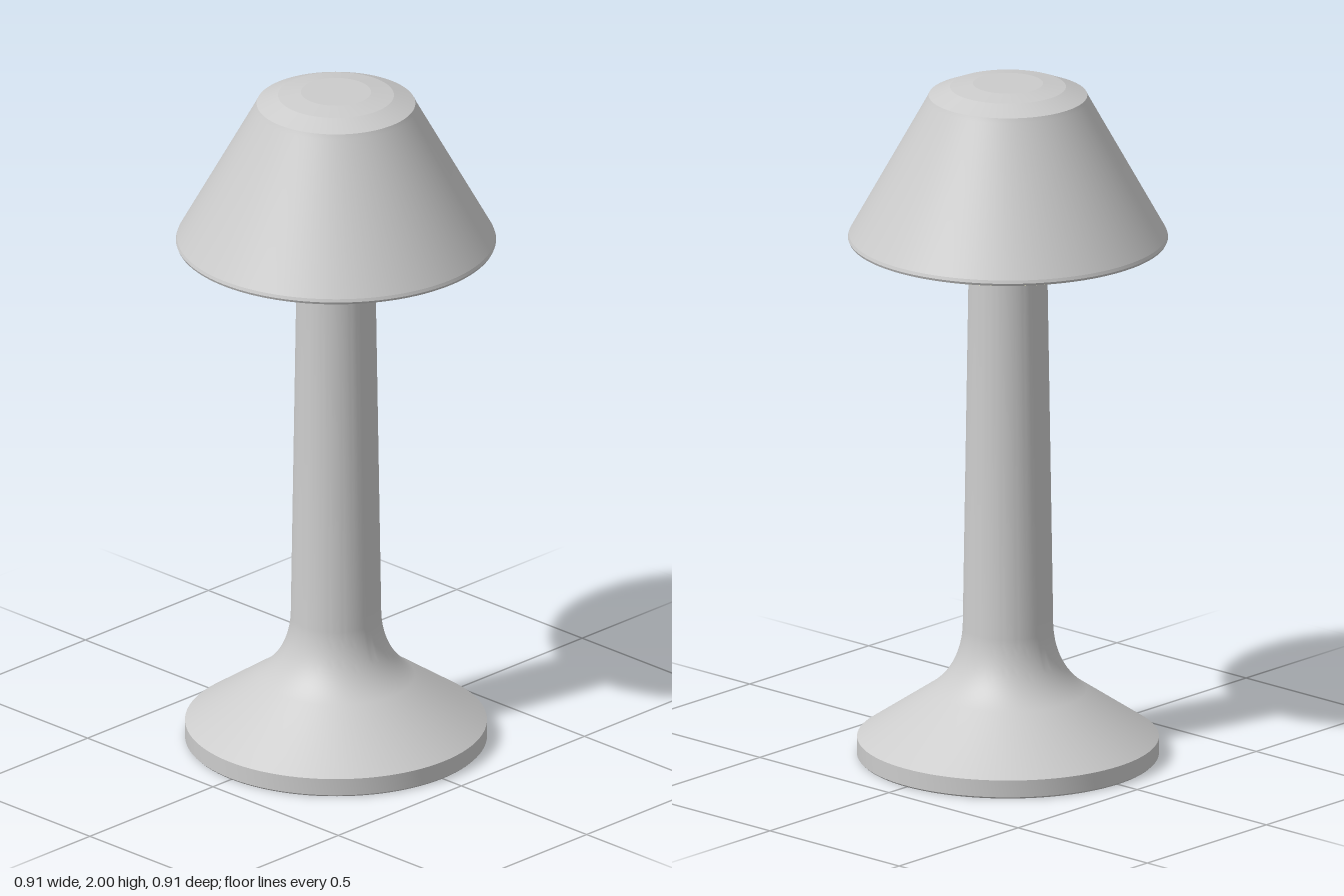
import * as THREE from 'three';
import { toCreasedNormals } from 'three/addons/utils/BufferGeometryUtils.js';

// Revolves a profile of [radius, height] points, listed from bottom to top
function turned(name, profile, color, crease) {
  const points = profile.map(([r, y]) => new THREE.Vector2(r, y));
  const geometry = toCreasedNormals(new THREE.LatheGeometry(points, 96), crease);
  const mesh = new THREE.Mesh(geometry, new THREE.MeshStandardMaterial({ color, side: THREE.DoubleSide }));
  mesh.name = name;
  return mesh;
}

export function createModel() {
  const lamp = new THREE.Group();
  lamp.name = 'tableLamp';

  // Base disc sweeping through a concave flare into the tapered stem
  const flare = new THREE.QuadraticBezierCurve(
    new THREE.Vector2(0.225, 0.195),
    new THREE.Vector2(0.137, 0.26),
    new THREE.Vector2(0.129, 0.38)
  ).getPoints(12).map((p) => [p.x, p.y]);
  lamp.add(turned('baseAndStem', [
    [0, 0], [0.425, 0], [0.43, 0.005], [0.43, 0.055],
    ...flare,
    [0.112, 1.46], [0, 1.46],
  ], 0xcccccc, 0.4));

  // Pale diffuser: flared collar and the panel closing the shade from below
  lamp.add(turned('diffuser', [
    [0.112, 1.46], [0.158, 1.53], [0.35, 1.53], [0.447, 1.534],
  ].reverse(), 0xeaeabf, 0.4));
  lamp.children[1].geometry = toCreasedNormals(new THREE.LatheGeometry(
    [[0.112, 1.46], [0.158, 1.53], [0.35, 1.53], [0.447, 1.534]]
      .map(([r, y]) => new THREE.Vector2(r, y)), 96), 0.4);

  // Conical shade with a thin rounded rim and a bevelled, flat crown
  lamp.add(turned('shade', [
    [0.445, 1.534], [0.453, 1.536], [0.456, 1.543], [0.453, 1.552],
    [0.232, 1.952], [0.226, 1.965],
    [0.165, 1.99], [0.1, 2], [0, 2],
  ], 0xcccccc, 0.15));

  return lamp;
}
